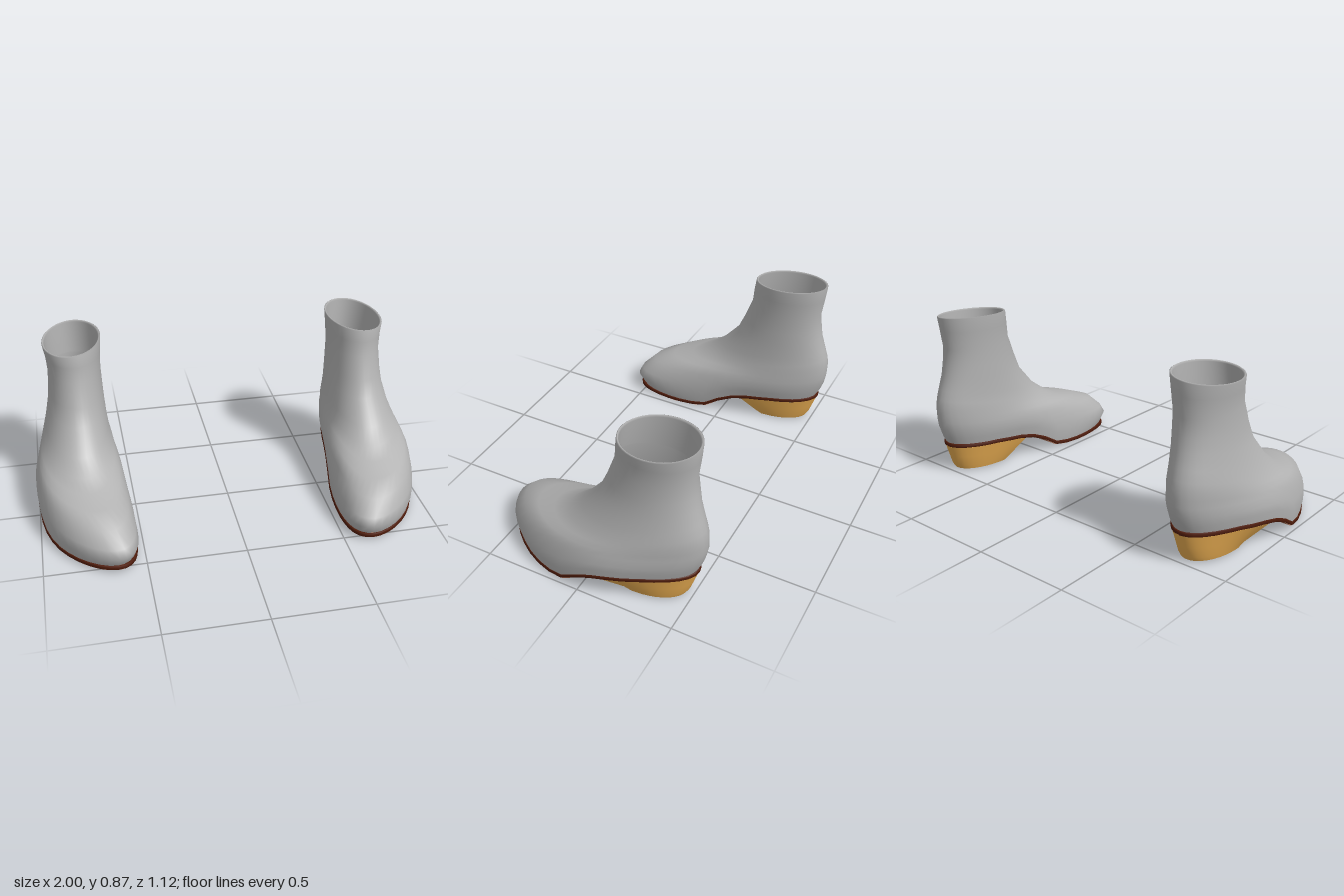
import * as THREE from 'three';
import { toCreasedNormals } from 'three/addons/utils/BufferGeometryUtils.js';

const N = 40;
const lerp = THREE.MathUtils.lerp;

const material = (name, color) => {
  const m = new THREE.MeshStandardMaterial({ color, side: THREE.DoubleSide });
  m.name = name;
  return m;
};

// Underside height of the sole along z: flat toe, rising arch, raised heel seat
const SOLE = [[-0.6, 0.152], [-0.3, 0.143], [-0.12, 0.124], [-0.02, 0.094], [0.08, 0.022], [0.16, 0.006], [0.28, 0], [0.56, 0.015]];
function soleY(z) {
  let i = 0;
  while (i < SOLE.length - 2 && z > SOLE[i + 1][0]) i++;
  const [a, b] = [SOLE[i], SOLE[i + 1]];
  return lerp(a[1], b[1], (z - a[0]) / (b[0] - a[0]));
}

// Toe curves towards the other foot; low on the foot the waist curves away from it
const bend = (z, skew) => (z > 0 ? -0.42 * z * z : 0) + 0.18 * skew * Math.exp(-(((z + 0.13) / 0.2) ** 2));

// Point on an oval between front and back; m follows the arch, tilt leans it sideways
function ovalPoint([zF, yF, zB, yB, w, c, m, tilt = 0], skew, t) {
  const z = lerp(zB, zF, (1 + Math.cos(t)) / 2);
  const s = (z - zB) / (zF - zB);
  const arch = soleY(z) - lerp(soleY(zB), soleY(zF), s);
  const side = w * Math.sin(t) * (1 + skew * Math.cos(t));
  return new THREE.Vector3(c + bend(z, skew) + side, lerp(yB, yF, s) + m * arch - tilt * side, z);
}
const oval = (row, skew) => Array.from({ length: N }, (_, i) => ovalPoint(row, skew, (i / N) * Math.PI * 2));

// Skin between rows of points
function loft(rows, closed) {
  const n = rows[0].length, index = [];
  for (let r = 0; r < rows.length - 1; r++) {
    for (let i = 0; i < (closed ? n : n - 1); i++) {
      const a = r * n + i, b = r * n + (i + 1) % n;
      index.push(a, b, b + n, a, b + n, a + n);
    }
  }
  const g = new THREE.BufferGeometry().setFromPoints(rows.flat());
  g.setIndex(index);
  g.computeVertexNormals();
  return g;
}

// Upper: front z, front y, back z, back y, half width, centre x, arch, tilt
const UPPER = [
  [0.53, 0.034, -0.515, 0.168, 0.218, 0.765, 1],
  [0.56, 0.09, -0.535, 0.21, 0.226, 0.765, 0.9],
  [0.54, 0.13, -0.552, 0.26, 0.226, 0.765, 0.5],
  [0.47, 0.2, -0.56, 0.305, 0.214, 0.763, 0.15],
  [0.36, 0.24, -0.56, 0.345, 0.2, 0.765, 0],
  [0.25, 0.268, -0.56, 0.385, 0.188, 0.765, 0],
  [0.165, 0.31, -0.552, 0.425, 0.175, 0.765, 0],
  [0.08, 0.375, -0.537, 0.475, 0.161, 0.762, 0],
  [-0.02, 0.49, -0.515, 0.545, 0.147, 0.756, 0],
  [-0.06, 0.58, -0.505, 0.61, 0.14, 0.752, 0],
  [-0.105, 0.7, -0.495, 0.69, 0.135, 0.75, 0],
  [-0.113, 0.78, -0.508, 0.79, 0.141, 0.75, 0, 0.04],
  [-0.122, 0.838, -0.515, 0.862, 0.15, 0.752, 0, 0.09],
  // rolled collar edge and lining
  [-0.128, 0.843, -0.509, 0.866, 0.144, 0.752, 0, 0.09],
  [-0.135, 0.835, -0.502, 0.858, 0.137, 0.752, 0, 0.09],
  [-0.106, 0.7, -0.494, 0.69, 0.134, 0.75, 0],
];

// Half-oval heel section with a straight front edge
const heelRing = (zF, len, w, y) => Array.from({ length: 25 }, (_, i) => {
  const a = Math.PI * (0.5 - i / 24);
  return new THREE.Vector3(0.769 + w * Math.sin(a), y, zF - len * Math.cos(a));
});

export function createModel() {
  const grey = material('grey leather', 0xb2b2b2);
  const welt = material('dark red brown', 0x4f1c0b);
  const brown = material('sole brown', 0xae785f);
  const wood = material('golden wood', 0xeaae52);
  const black = material('black rubber', 0x333333);

  // Sole edge
  const SKEW = 0.11;
  const soleRow = (inset, up) => [0.545 - inset, soleY(0.545) + up, -0.525 + inset, soleY(-0.525) + up, 0.222 - inset, 0.765, 1];
  const edge = [soleRow(0.006, 0), soleRow(0, 0.005), soleRow(0, 0.018), soleRow(0.004, 0.022), soleRow(0.012, 0.022)];

  // Sole underside, from toe to the front of the heel
  const [zFront, , zBack] = edge[0];
  const end = Math.acos((2 * (-0.12 - zBack)) / (zFront - zBack) - 1);
  const under = Array.from({ length: 29 }, (_, i) => {
    const t = lerp(0.01, end, i / 28);
    return [ovalPoint(edge[0], SKEW, t), ovalPoint(edge[0], SKEW, -t)];
  });

  // Hollow tapered heel, its top following the sole, and its tip
  const heelTop = Array.from({ length: 25 }, (_, i) => ovalPoint(edge[0], SKEW, lerp(end, 2 * Math.PI - end, i / 24)));
  const heelLow = heelRing(-0.203, 0.277, 0.136, 0.032);
  const heelMid = heelLow.map((p, i) => p.clone().lerp(heelTop[i], 0.48));
  const heelBase = heelRing(-0.232, 0.234, 0.124, 0.008);
  const tip = heelBase.slice(0, 13).map((p, i) => [p, heelBase[24 - i]]);

  const parts = [
    ['upper', loft(UPPER.map((r, i) => oval(r, SKEW * Math.max(0, 1 - i / 8))), true), grey],
    ['soleEdge', loft(edge.map(r => oval(r, SKEW)), true), welt],
    ['soleUnderside', loft(under, false), brown],
    ['heel', toCreasedNormals(loft([heelBase, heelLow, heelMid, heelTop], true), 0.7), wood],
    ['heelTip', loft(tip, false), black],
  ];

  const model = new THREE.Group();
  model.name = 'ankleBoots';
  for (const side of [1, -1]) {
    const boot = new THREE.Group();
    boot.name = side > 0 ? 'leftBoot' : 'rightBoot';
    for (const [name, geometry, mat] of parts) {
      const mesh = new THREE.Mesh(geometry, mat);
      mesh.name = name;
      boot.add(mesh);
    }
    boot.scale.x = side;
    model.add(boot);
  }
  return model;
}
